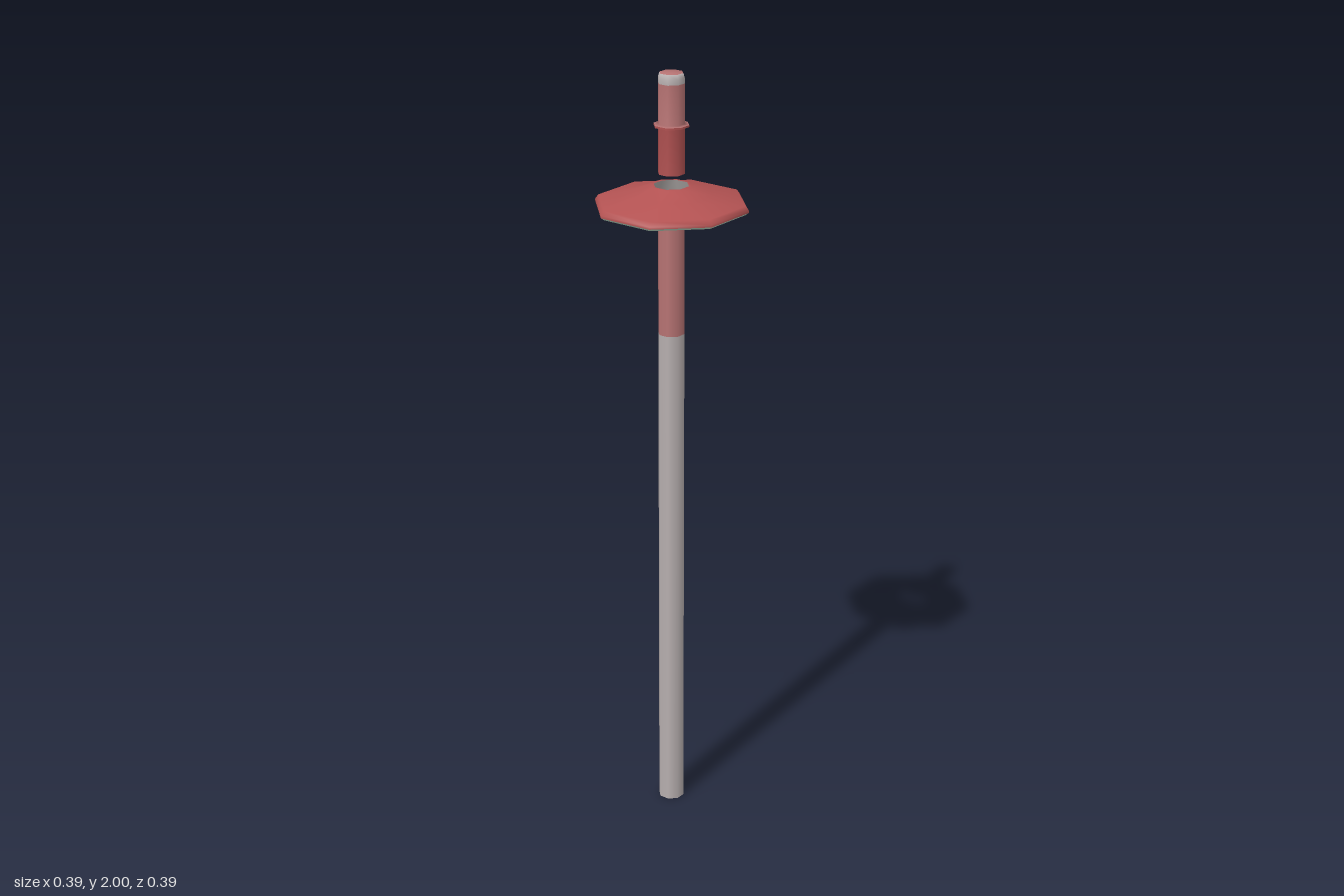
import * as THREE from 'three';

const SIDES = 8;
const R = 0.034; // pole radius

function material(name, color, side = THREE.FrontSide) {
  const m = new THREE.MeshStandardMaterial({ color, side });
  m.name = name;
  return m;
}

export function createModel() {
  const grey = material('pole grey', 0xb8b0b0);
  const pink = material('faded red', 0xb87474);
  const red = material('enamel red', 0xb45353);
  const green = material('underside pale green', 0xc0dec8);
  const collarGrey = material('collar grey', 0xb9b4b2, THREE.DoubleSide);

  const model = new THREE.Group();
  model.name = 'post';

  // Eight-sided smooth turned part from [radius, height] pairs, bottom to top,
  // with one material per profile segment
  function turned(name, materials, profile) {
    const points = profile.map(([r, y]) => new THREE.Vector2(r, y));
    const geometry = new THREE.LatheGeometry(points, SIDES);
    const bands = points.length - 1;
    for (let i = 0; i < SIDES * bands; i++) geometry.addGroup(i * 6, 6, i % bands);
    const mesh = new THREE.Mesh(geometry, materials);
    mesh.name = name;
    model.add(mesh);
  }

  // Straight pole section, closed at both ends
  function section(name, mat, y0, y1) {
    const mesh = new THREE.Mesh(new THREE.CylinderGeometry(R, R, y1 - y0, SIDES), mat);
    mesh.position.y = (y0 + y1) / 2;
    mesh.name = name;
    model.add(mesh);
  }

  // Lower pole, grey with a red band below the shade
  section('lowerPole', grey, 0, 1.335);
  section('poleBand', pink, 1.335, 1.645);

  // Shade: domed top with a bevelled rim, pale underside and lower edge
  turned('shadeTop', [red, red, red, red, red], [
    [0.196, 1.664], [0.196, 1.67], [0.188, 1.681], [0.105, 1.7], [0.052, 1.72], [0.045, 1.72],
  ]);
  turned('shadeUnderside', [green], [[0.07, 1.66], [0.188, 1.658]]);
  turned('shadeLowerEdge', [green], [[0.188, 1.658], [0.196, 1.664]]);

  // Open collar lining the centre of the shade
  turned('shadeCollar', [collarGrey], [[0.07, 1.66], [0.045, 1.72]]);

  // Neck flaring out to a thin ring
  turned('neckBase', [red], [[0, 1.75], [R, 1.75]]);
  turned('neck', [red, red], [[R, 1.75], [R, 1.866], [0.045, 1.868]]);
  turned('neckRing', [red], [[0.045, 1.868], [0.045, 1.873]]);

  // Finial rising from the ring, with a bevelled grey cap
  turned('finial', [pink, pink, grey, grey, pink], [
    [0.045, 1.873], [R, 1.875], [R, 1.975], [R, 1.988], [0.03, 2], [0, 2],
  ]);

  return model;
}
